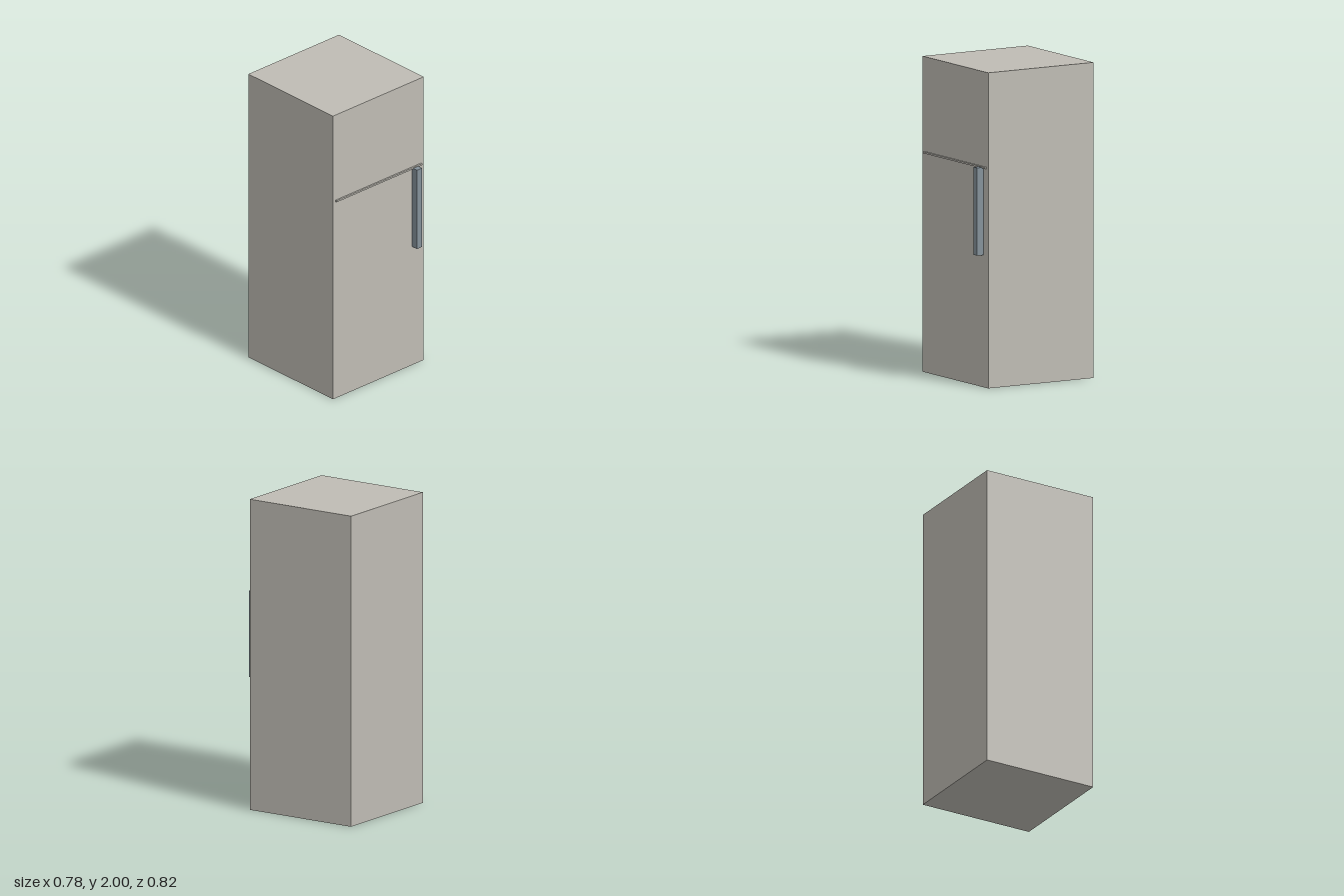
import * as THREE from 'three';

export function createModel() {
  const model = new THREE.Group();
  model.name = 'refrigerator';

  const enamel = new THREE.MeshStandardMaterial({ name: 'warm grey enamel', color: 0xbfbcb4 });
  const steel = new THREE.MeshStandardMaterial({ name: 'blue grey steel', color: 0x84919a });

  // Box given by its lowest and highest corners
  const addBox = (name, material, [x0, y0, z0], [x1, y1, z1]) => {
    const geometry = new THREE.BoxGeometry(x1 - x0, y1 - y0, z1 - z0);
    const mesh = new THREE.Mesh(geometry, material);
    mesh.name = name;
    mesh.position.set((x0 + x1) / 2, (y0 + y1) / 2, (z0 + z1) / 2);
    model.add(mesh);
  };

  const front = 0.365;

  // Tall cabinet
  addBox('cabinet', enamel, [-0.388, 0, -0.411], [0.388, 2, front]);

  // Thin ridge between the freezer and the lower door
  addBox('doorDivider', enamel, [-0.366, 1.388, front - 0.011], [0.366, 1.399, front + 0.011]);

  // Vertical door handle
  addBox('doorHandle', steel, [0.289, 0.837, front - 0.003], [0.331, 1.393, 0.411]);

  return model;
}
